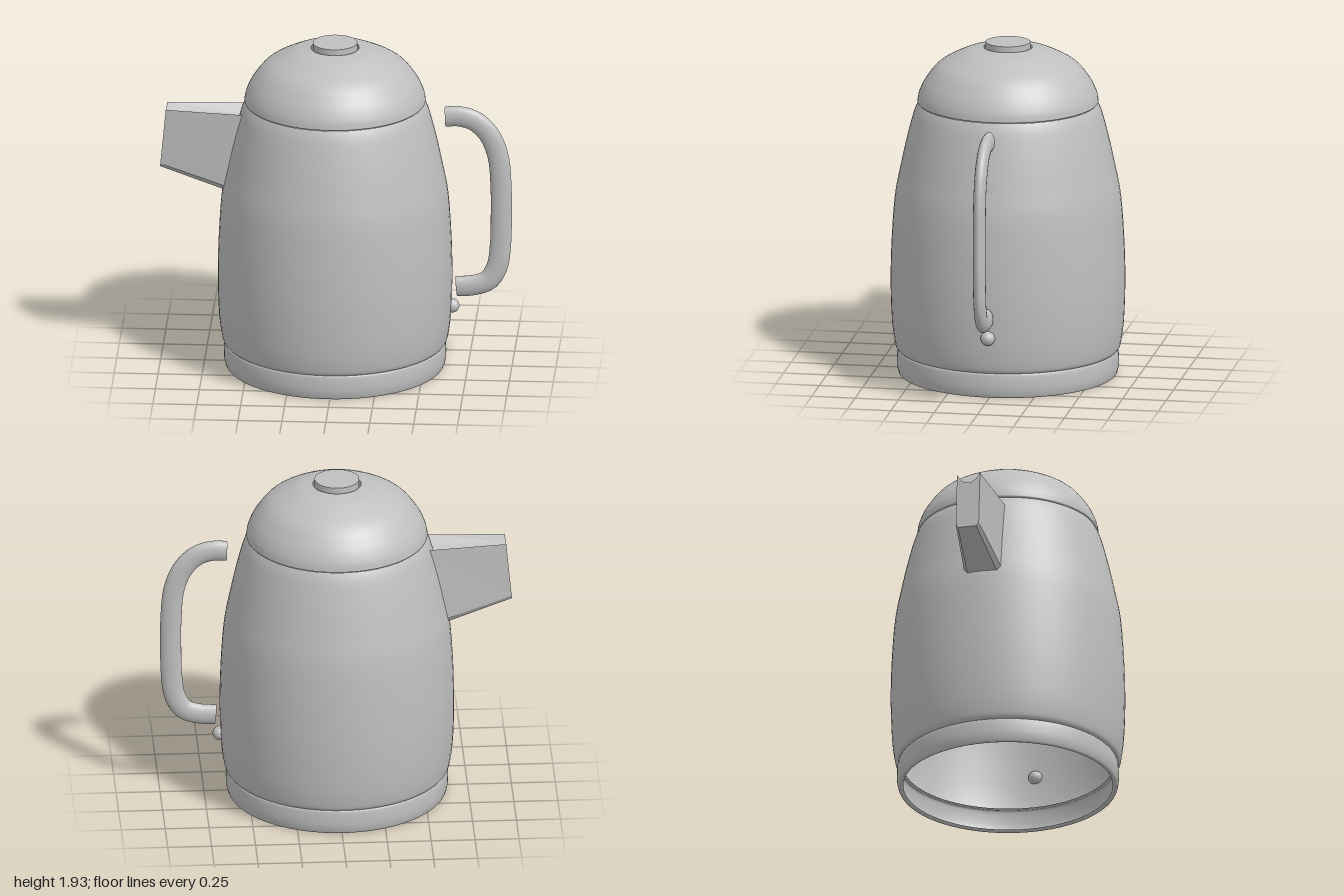
import * as THREE from 'three';

const CX = -0.007; // axis of the round body

export function createModel() {
  const group = new THREE.Group();
  const grey = new THREE.MeshStandardMaterial({ color: 0xbfbfbf, side: THREE.DoubleSide });
  grey.name = 'brushed grey';

  const add = (name, geometry, x = 0, y = 0, z = 0, parent = group) => {
    const mesh = new THREE.Mesh(geometry, grey);
    mesh.name = name;
    mesh.position.set(x, y, z);
    parent.add(mesh);
    return mesh;
  };
  const spline = (pts) => new THREE.SplineCurve(pts.map(([x, y]) => new THREE.Vector2(x, y)));
  const turned = (name, pts, steps = 40) =>
    add(name, new THREE.LatheGeometry(spline(pts).getPoints(steps), 72), CX);

  // Open, hollow turned parts
  turned('baseRing', [[0.595, 0.012], [0.605, 0.002], [0.62, 0.004], [0.63, 0.04],
    [0.632, 0.08], [0.629, 0.125], [0.622, 0.142], [0.6, 0.146]]);
  const bodyProfile = [[0.605, 0.143], [0.63, 0.148], [0.645, 0.19], [0.66, 0.32], [0.667, 0.55],
    [0.66, 0.8], [0.642, 1.04], [0.61, 1.21], [0.575, 1.37], [0.535, 1.52], [0.508, 1.582]];
  turned('body', bodyProfile, 60);
  turned('lid', [[0.5, 1.584], [0.513, 1.586], [0.514, 1.6], [0.503, 1.645], [0.467, 1.715],
    [0.39, 1.805], [0.255, 1.877], [0.18, 1.897], [0.137, 1.904]], 48);

  // Button sits in the lid opening with a narrow gap around it
  add('lidButton', new THREE.CylinderGeometry(0.127, 0.127, 0.05, 48), CX, 1.91, 0);

  // Spout: chamfered tapered block with a hollowed top, its root following the body
  const radiusAt = (y) => {
    for (let i = 1; i < bodyProfile.length; i++) {
      const [r0, y0] = bodyProfile[i - 1], [r1, y1] = bodyProfile[i];
      if (y <= y1) return r0 + (r1 - r0) * (y - y0) / (y1 - y0);
    }
    return 0.508;
  };
  const section = [[-0.8, 0], [0.8, 0], [1, 0.06], [1, 1], [0.65, 0.89], [0.25, 0.84],
    [-0.25, 0.84], [-0.65, 0.89], [-1, 1], [-1, 0.06]];
  const root = section.map(([u, v]) => {
    const y = 1.065 + 0.457 * v, z = 0.108 * u;
    return [CX + 0.004 - Math.sqrt(radiusAt(y) ** 2 - z * z), y, z];
  });
  const tipPoint = ([u, v]) => [-1 + 0.033 * v, 1.185 + 0.345 * v, 0.067 * u];
  const tip = section.map(tipPoint);
  const tipCentre = tipPoint([0, 0.5]);
  const corners = [];
  section.forEach((_, i) => {
    const j = (i + 1) % section.length;
    corners.push(root[i], root[j], tip[j], root[i], tip[j], tip[i], tipCentre, tip[i], tip[j]);
  });
  const spout = new THREE.BufferGeometry();
  spout.setAttribute('position', new THREE.Float32BufferAttribute(corners.flat(), 3));
  spout.computeVertexNormals();
  add('spout', spout);

  // Handle: tube flattened across its width, with flat ends
  const handle = new THREE.Group();
  handle.name = 'handle';
  handle.scale.z = 0.035 / 0.06;
  group.add(handle);
  const path = new THREE.CatmullRomCurve3([[0.62, 1.5], [0.7, 1.503], [0.79, 1.475], [0.87, 1.395],
    [0.92, 1.27], [0.937, 1.1], [0.939, 0.9], [0.935, 0.74], [0.915, 0.6], [0.865, 0.517],
    [0.78, 0.485], [0.683, 0.477]].map(([x, y]) => new THREE.Vector3(x, y, 0)));
  add('handleBar', new THREE.TubeGeometry(path, 64, 0.06, 20), 0, 0, 0, handle);
  for (const [t, dir] of [[0, -1], [1, 1]]) {
    const p = path.getPoint(t);
    const cap = add('handleEnd', new THREE.CircleGeometry(0.06, 20), p.x, p.y, 0, handle);
    cap.quaternion.setFromUnitVectors(new THREE.Vector3(0, 0, 1),
      path.getTangent(t).multiplyScalar(dir));
  }

  // Small round indicator below the handle
  add('indicator', new THREE.SphereGeometry(0.041, 24, 16), 0.66, 0.36, 0);

  return group;
}
